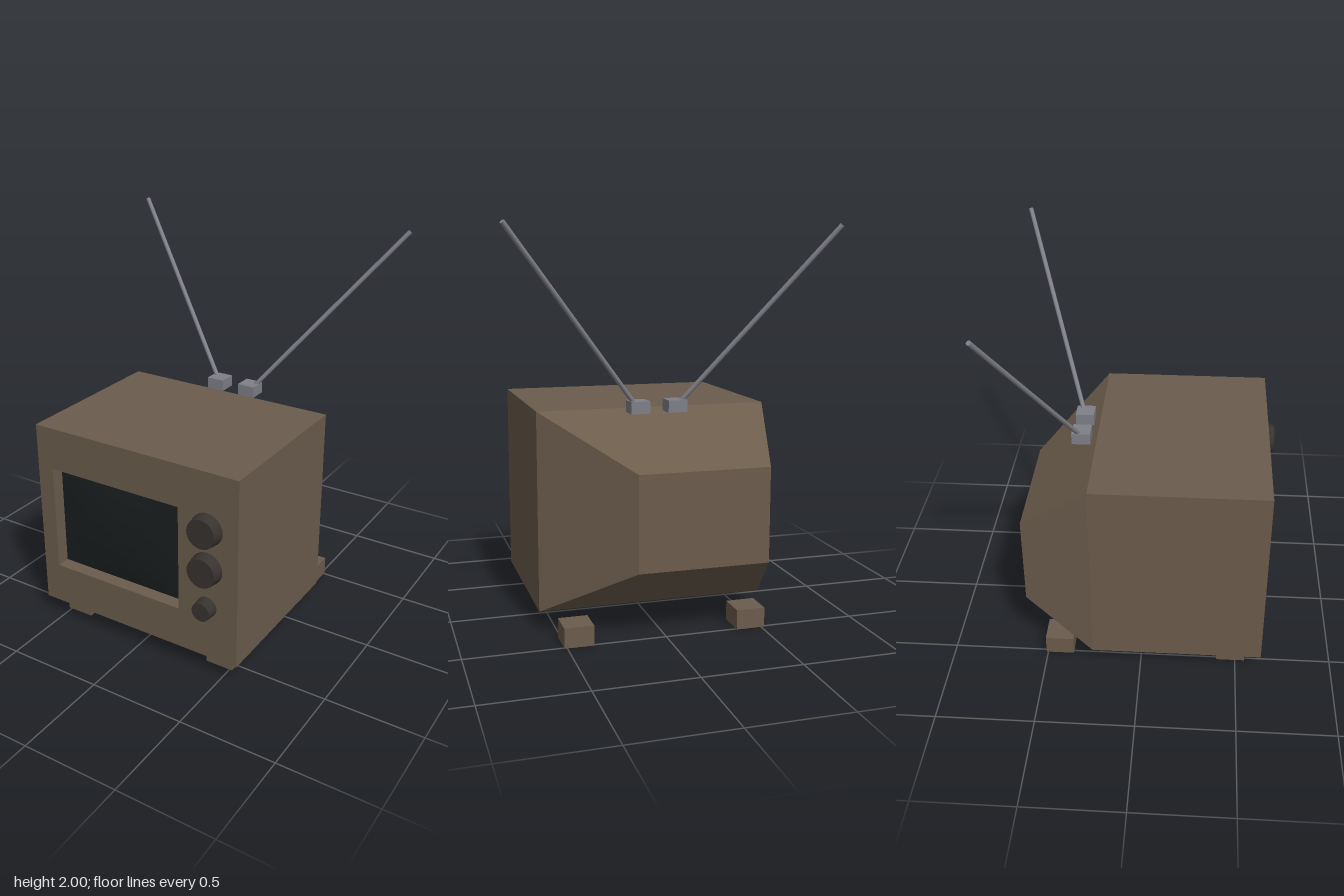
import * as THREE from 'three';

const mat = (color, extra = {}) => new THREE.MeshStandardMaterial({ color, ...extra });

// Skin of quads through rectangles [x0, x1, y0, y1, z], closed at the first one
function loftRects(rects) {
  const rings = rects.map(([x0, x1, y0, y1, z]) => [[x0, y0, z], [x1, y0, z], [x1, y1, z], [x0, y1, z]]);
  const pos = [];
  const quad = (a, b, c, d) => pos.push(...a, ...b, ...c, ...a, ...c, ...d);
  const [p, q, r, s] = rings[0];
  quad(s, r, q, p);
  for (let i = 0; i < rings.length - 1; i++) {
    for (let j = 0; j < 4; j++) {
      const k = (j + 1) % 4;
      quad(rings[i][j], rings[i][k], rings[i + 1][k], rings[i + 1][j]);
    }
  }
  const g = new THREE.BufferGeometry();
  g.setAttribute('position', new THREE.Float32BufferAttribute(pos, 3));
  g.computeVertexNormals();
  return g;
}

export function createModel() {
  const group = new THREE.Group();
  const brown = mat(0x6b5c4c);
  const knobMat = mat(0x38332f);
  const metal = mat(0x7f7f88);
  const glass = mat(0x1a1e1e);

  const add = (name, geometry, material, x = 0, y = 0, z = 0) => {
    const mesh = new THREE.Mesh(geometry, material);
    mesh.name = name;
    mesh.position.set(x, y, z);
    group.add(mesh);
    return mesh;
  };

  // Cabinet: tapered back, box, front frame and screen recess in one skin
  add('cabinet', loftRects([
    [-0.495, 0.17, 0.365, 0.845, -0.6],
    [-0.59, 0.585, 0.1, 1.11, -0.25],
    [-0.59, 0.585, 0.1, 1.11, 0.63],
    [-0.5, 0.255, 0.32, 0.885, 0.63],
    [-0.5, 0.255, 0.32, 0.885, 0.56],
  ]), brown);

  // Gently bulging screen
  const w = 0.755, h = 0.565;
  const screen = new THREE.PlaneGeometry(w, h, 16, 12);
  const p = screen.attributes.position;
  for (let i = 0; i < p.count; i++) {
    const u = p.getX(i) / (w / 2), v = p.getY(i) / (h / 2);
    p.setZ(i, 0.025 * (1 - u * u) * (1 - v * v));
  }
  screen.computeVertexNormals();
  add('screen', screen, glass, -0.1225, 0.6025, 0.56);

  // Tapered control knobs
  for (const [y, r] of [[0.815, 0.085], [0.605, 0.085], [0.39, 0.054]]) {
    const knob = new THREE.CylinderGeometry(r * 0.9, r, 0.06, 24).rotateX(Math.PI / 2);
    add('knob', knob, knobMat, 0.417, y, 0.66);
  }

  // Four feet
  for (const x of [-0.443, 0.44]) {
    for (const z of [0.475, -0.435]) {
      add('foot', new THREE.BoxGeometry(0.148, 0.1, 0.148), brown, x, 0.05, z);
    }
  }

  // Antenna blocks with splayed rods
  for (const side of [-1, 1]) {
    add('antennaBase', new THREE.BoxGeometry(0.096, 0.06, 0.096), metal, side * 0.095, 1.125, -0.328);
    const from = new THREE.Vector3(side * 0.115, 1.14, -0.34);
    const to = new THREE.Vector3(side * 0.795, 1.993, -0.677);
    const dir = to.clone().sub(from);
    const mid = from.clone().add(to).multiplyScalar(0.5);
    const rod = add('antennaRod', new THREE.CylinderGeometry(0.012, 0.012, dir.length(), 12), metal, mid.x, mid.y, mid.z);
    rod.quaternion.setFromUnitVectors(new THREE.Vector3(0, 1, 0), dir.normalize());
  }
  return group;
}
